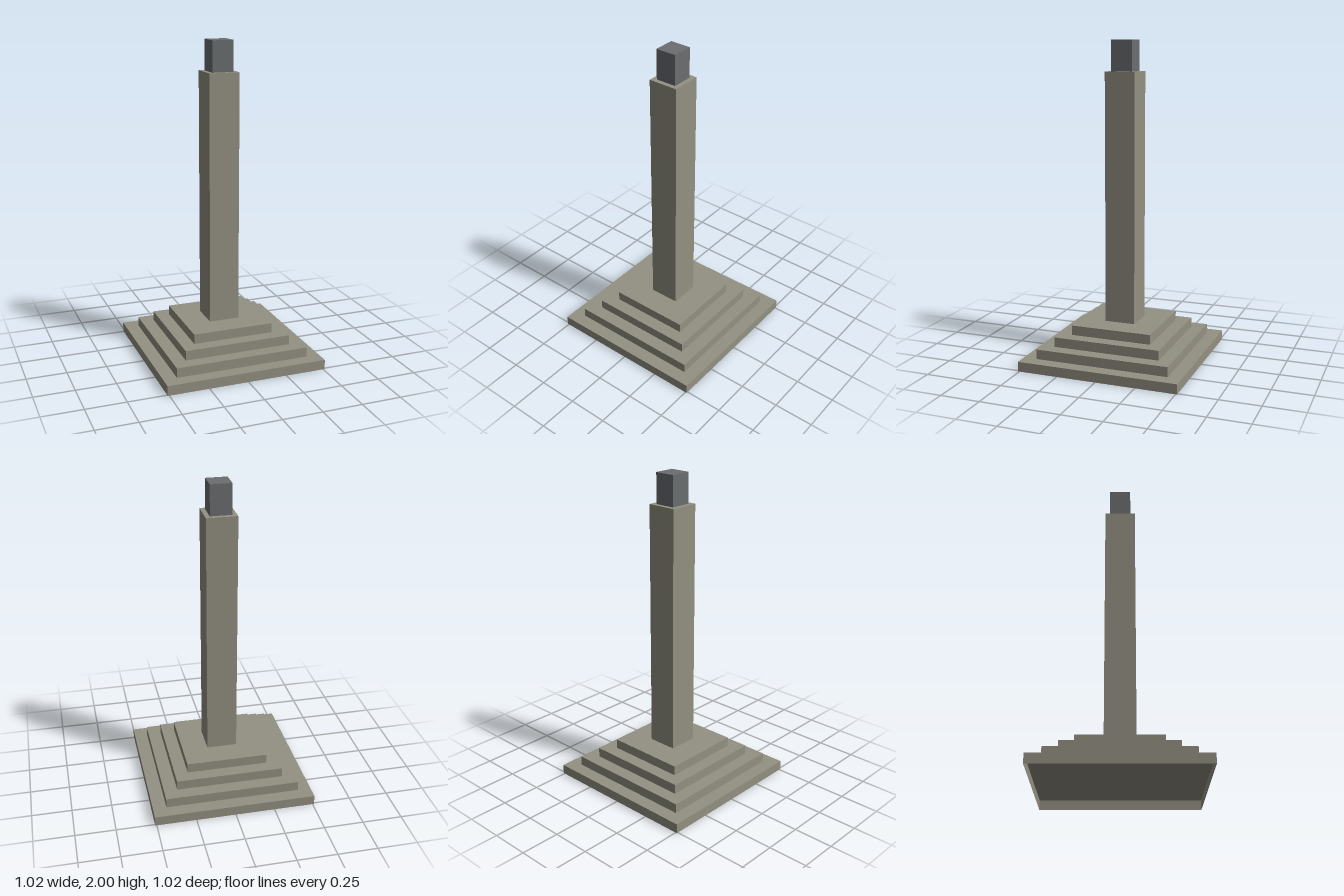
import * as THREE from 'three';

export function createModel() {
  const model = new THREE.Group();
  model.name = 'steppedPillar';

  const stone = new THREE.MeshStandardMaterial({ color: 0x949182, side: THREE.DoubleSide });
  stone.name = 'stone';
  const slate = new THREE.MeshStandardMaterial({ color: 0x6b6e6f, side: THREE.DoubleSide });
  slate.name = 'slate';

  // Square block, open underneath, standing from bottom to top
  function addBlock(name, width, bottom, top, material) {
    const geometry = new THREE.BoxGeometry(width, top - bottom, width);
    const index = Array.from(geometry.index.array);
    index.splice(18, 6); // drop the underside
    geometry.setIndex(index);
    geometry.clearGroups();
    const mesh = new THREE.Mesh(geometry, material);
    mesh.name = name;
    mesh.position.y = (bottom + top) / 2;
    model.add(mesh);
  }

  // Four steps, each narrower than the one below
  const rise = 0.061;
  [1.02, 0.85, 0.682, 0.516].forEach((width, i) => {
    addBlock(`step${i + 1}`, width, i * rise, (i + 1) * rise, stone);
  });

  // Shaft and the small block on top
  addBlock('shaft', 0.192, 4 * rise, 1.81, stone);
  addBlock('capBlock', 0.134, 1.81, 2, slate);

  return model;
}
